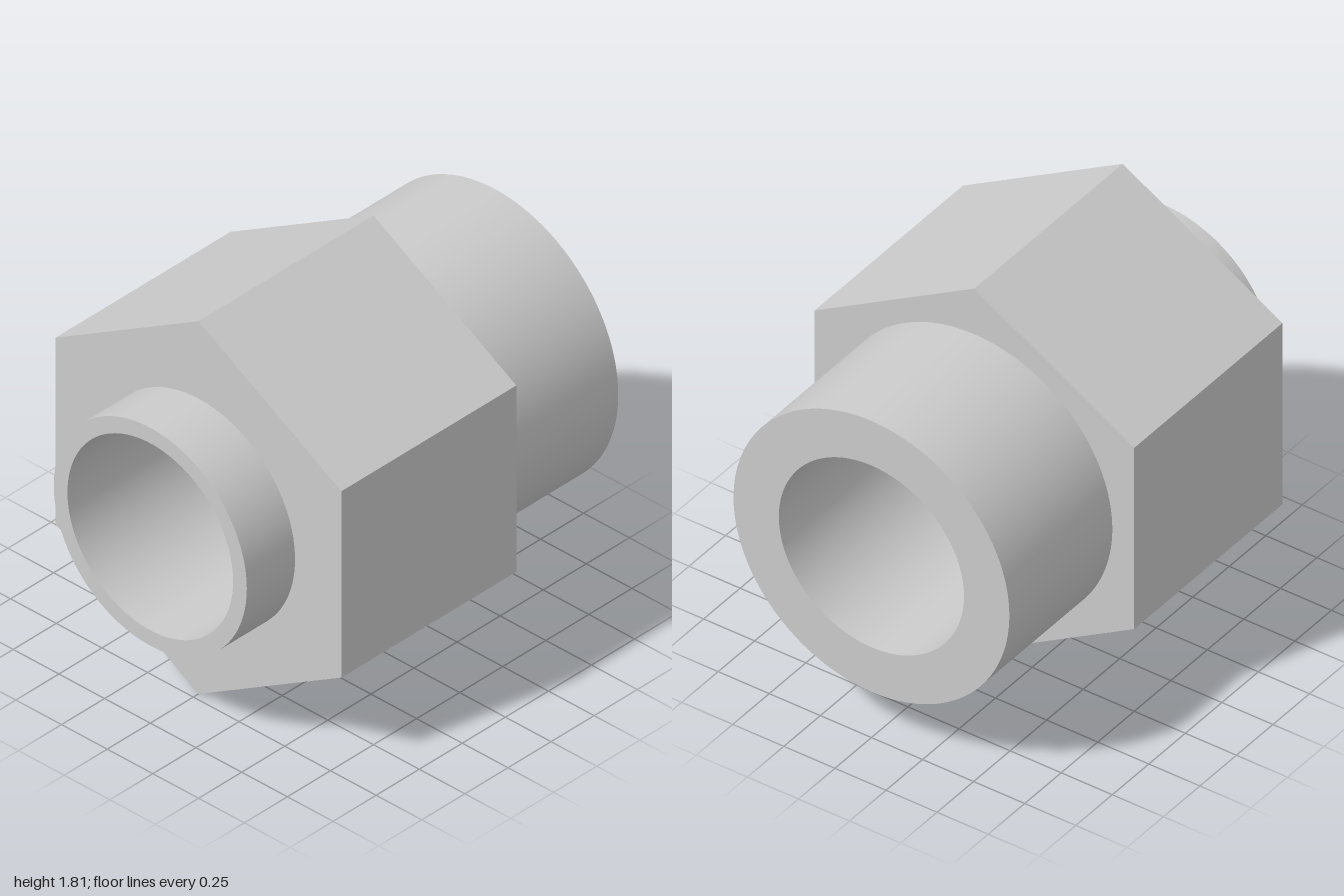
import * as THREE from 'three';
import { toCreasedNormals } from 'three/addons/utils/BufferGeometryUtils.js';

const BORE = 0.453, SOCKET = 0.675, SPIGOT = 0.528, HEX = 0.903;
const LEFT = -0.72, RIGHT = 0.295; // ends of the hexagon along x

export function createModel() {
  const model = new THREE.Group();
  const material = new THREE.MeshStandardMaterial({ color: 0xcccccc });

  const add = (name, geometry) => {
    const mesh = new THREE.Mesh(toCreasedNormals(geometry, 0.5), material);
    mesh.name = name;
    mesh.position.y = HEX;
    model.add(mesh);
  };

  // Turned surface about the x axis from [radius, x] points
  const turned = (name, points) => {
    const profile = points.map(([r, x]) => new THREE.Vector2(r, x));
    add(name, new THREE.LatheGeometry(profile, 128).rotateZ(-Math.PI / 2));
  };

  // Wide collar with its end face
  turned('wideCollar', [[SOCKET, RIGHT], [SOCKET, 1], [BORE, 1]]);
  // Narrow collar with its end face
  turned('narrowCollar', [[BORE, -1], [SPIGOT, -1], [SPIGOT, LEFT]]);
  // Straight through hole, facing inward
  turned('bore', [[BORE, 1], [BORE, -1]]);

  // Hexagonal body, a corner pointing up, hollow behind the collars
  const corners = Array.from({ length: 6 }, (_, i) => {
    const a = Math.PI / 2 + i * Math.PI / 3;
    return new THREE.Vector2(HEX * Math.cos(a), HEX * Math.sin(a));
  });
  const hexagon = new THREE.Shape(corners);
  hexagon.holes.push(new THREE.Path().absarc(0, 0, 0.49, 0, Math.PI * 2, true));
  const body = new THREE.ExtrudeGeometry(hexagon, {
    depth: RIGHT - LEFT, bevelEnabled: false, curveSegments: 48,
  });
  add('hexBody', body.rotateY(Math.PI / 2).translate(LEFT, 0, 0));

  return model;
}
